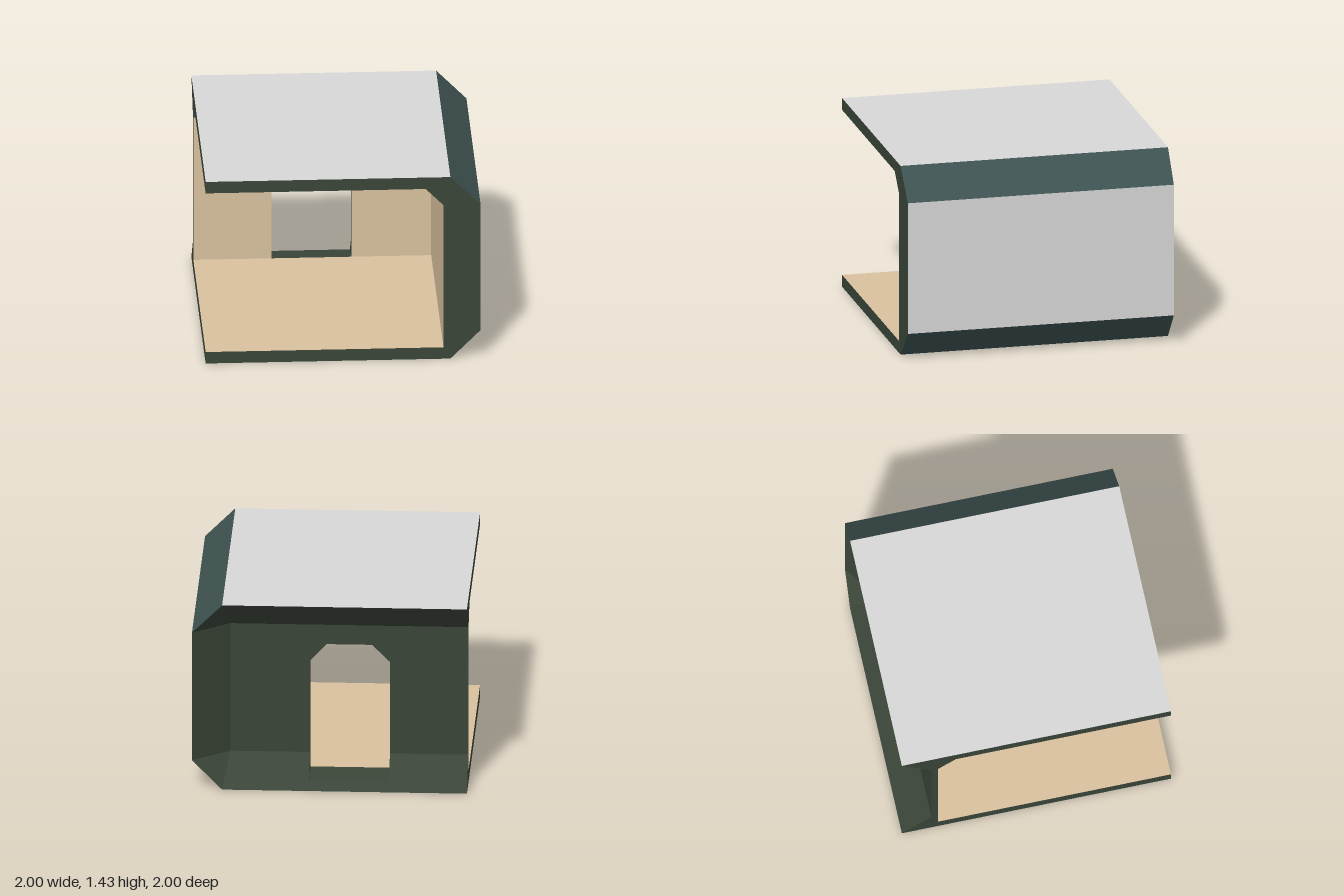
import * as THREE from 'three';

const paint = (name, color) => {
  const m = new THREE.MeshStandardMaterial({ color });
  m.name = name;
  return m;
};

// Flat polygon through 3D corners, facing the given direction
function panel(parent, name, material, corners, facing) {
  const pts = corners.map(c => new THREE.Vector3(...c));
  const out = new THREE.Vector3(...facing);
  const size = facing.map(Math.abs);
  const drop = size.indexOf(Math.max(...size));
  const [a, b] = [0, 1, 2].filter(i => i !== drop);
  const flat = corners.map(c => new THREE.Vector2(c[a], c[b]));
  const position = [];
  for (const [i, j, k] of THREE.ShapeUtils.triangulateShape(flat, [])) {
    const n = pts[j].clone().sub(pts[i]).cross(pts[k].clone().sub(pts[i]));
    const order = n.dot(out) < 0 ? [i, k, j] : [i, j, k];
    order.forEach(q => position.push(...pts[q].toArray()));
  }
  const geo = new THREE.BufferGeometry();
  geo.setAttribute('position', new THREE.Float32BufferAttribute(position, 3));
  geo.computeVertexNormals();
  const mesh = new THREE.Mesh(geo, material);
  mesh.name = name;
  parent.add(mesh);
}

export function createModel() {
  const model = new THREE.Group();
  model.name = 'corridorModule';
  const grey = paint('plainGrey', 0xd8d8d8);
  const beige = paint('interiorBeige', 0xd9c19e);
  const green = paint('frameGreen', 0x3a4538);
  const teal = paint('outerTeal', 0x3e5351);
  const slate = paint('innerSlate', 0x626f7b);
  const add = (...args) => panel(model, ...args);

  // Main levels
  const H = 1.43, FLOOR = 0.09, CEIL = 1.34, LOW = 0.22, HIGH = 1.21;
  const IN = 0.73, OUT = 0.78, EDGE = 0.78, SOFFIT = 0.6, RIM = -0.99;

  // Door outline, from one foot over the top to the other
  const door = foot => [[0.15, foot], [0.15, 0.93], [0.03, 1.06], [-0.3, 1.06], [-0.43, 0.93], [-0.43, foot]];

  // Outer shell
  add('roof', grey, [[-1, H, -1], [EDGE, H, -1], [EDGE, H, 1], [-1, H, 1]], [0, 1, 0]);
  add('underside', grey, [[-1, 0, -1], [EDGE, 0, -1], [EDGE, 0, 1], [-1, 0, 1]], [0, -1, 0]);
  add('outerSideWall', grey, [[1, LOW, RIM], [1, HIGH, RIM], [1, HIGH, 1], [1, LOW, 1]], [1, 0, 0]);
  for (const [name, y0, y1, dir] of [['upperBevel', H, HIGH, 1], ['lowerBevel', 0, LOW, -1]])
    add(name, teal, [[EDGE, y0, -1], [1, y1, RIM], [1, y1, 1], [EDGE, y0, 1]], [1, dir, 0]);

  // Cut ends at the open front and open side
  add('frontEnd', green, [[-1, 0], [EDGE, 0], [1, LOW], [1, HIGH], [EDGE, H], [-1, H], [-1, CEIL],
    [SOFFIT, CEIL], [IN, HIGH], [IN, FLOOR], [-1, FLOOR]].map(([x, y]) => [x, y, 1]), [0, 0, 1]);
  add('sideEnd', green, [[1, 0], [-1, 0], [-OUT, LOW], [-OUT, HIGH], [-1, H], [1, H], [1, CEIL],
    [-SOFFIT, CEIL], [-IN, HIGH], [-IN, FLOOR], [1, FLOOR]].map(([z, y]) => [-1, y, z]), [-1, 0, 0]);

  // Interior lining
  add('floor', beige, [[-1, FLOOR, -IN], [IN, FLOOR, -IN], [IN, FLOOR, 1], [-1, FLOOR, 1]], [0, 1, 0]);
  add('ceiling', beige, [[-1, CEIL, -SOFFIT], [SOFFIT, CEIL, -SOFFIT], [SOFFIT, CEIL, 1], [-1, CEIL, 1]], [0, -1, 0]);
  add('innerSideWall', beige, [[IN, FLOOR, -IN], [IN, HIGH, -IN], [IN, HIGH, 1], [IN, FLOOR, 1]], [-1, 0, 0]);
  add('innerBackWall', beige, [[-1, HIGH], [IN, HIGH], [IN, FLOOR], ...door(FLOOR), [-1, FLOOR]]
    .map(([x, y]) => [x, y, -IN]), [0, 0, 1]);
  add('backCove', slate, [[-1, HIGH, -IN], [IN, HIGH, -IN], [SOFFIT, CEIL, -SOFFIT], [-1, CEIL, -SOFFIT]], [0, -1, 1]);
  add('sideCove', slate, [[IN, HIGH, -IN], [IN, HIGH, 1], [SOFFIT, CEIL, 1], [SOFFIT, CEIL, -SOFFIT]], [-1, -1, 0]);

  // Recessed back with sloping surround
  add('outerBackWall', green, [[-1, HIGH], [IN, HIGH], [IN, LOW], ...door(LOW), [-1, LOW]]
    .map(([x, y]) => [x, y, -OUT]), [0, 0, -1]);
  add('backTopSlope', green, [[-1, H, -1], [EDGE, H, -1], [IN, HIGH, -OUT], [-1, HIGH, -OUT]], [0, -1, -1]);
  add('backBottomSlope', green, [[-1, 0], [EDGE, 0], [IN, LOW], [0.15, LOW], [0.15, 0.06], [-0.43, 0.06],
    [-0.43, LOW], [-1, LOW]].map(([x, y]) => [x, y, y - 1]), [0, 1, -1.01]);
  add('backSideSlope', green, [[1, LOW, RIM], [1, HIGH, RIM], [IN, HIGH, -OUT], [IN, LOW, -OUT]], [-0.9, 0, -1]);
  for (const [y0, y1, dir] of [[0, LOW, 1], [H, HIGH, -1]])
    add('backCorner', green, [[EDGE, y0, -1], [1, y1, RIM], [IN, y1, -OUT]], [-0.5, dir * 0.6, -1]);

  // Doorway lining
  for (const [x, dir] of [[0.15, -1], [-0.43, 1]])
    add('doorJamb', green, [[-IN, FLOOR], [-IN, 0.93], [-OUT, 0.93], [-OUT, LOW], [-0.94, 0.06]]
      .map(([z, y]) => [x, y, z]), [dir, 0, 0]);
  const arch = door(FLOOR).slice(1, 5);
  for (let i = 0; i < 3; i++) {
    const [p, q] = [arch[i], arch[i + 1]];
    add('doorHead', green, [[...p, -IN], [...q, -IN], [...q, -OUT], [...p, -OUT]], [1 - i ? (i - 1) * 0.9 : 0, -1, 0]);
  }
  add('threshold', green, [[0.15, FLOOR, -IN], [-0.43, FLOOR, -IN], [-0.43, 0.06, -0.94], [0.15, 0.06, -0.94]], [0, 1, 0]);

  return model;
}
